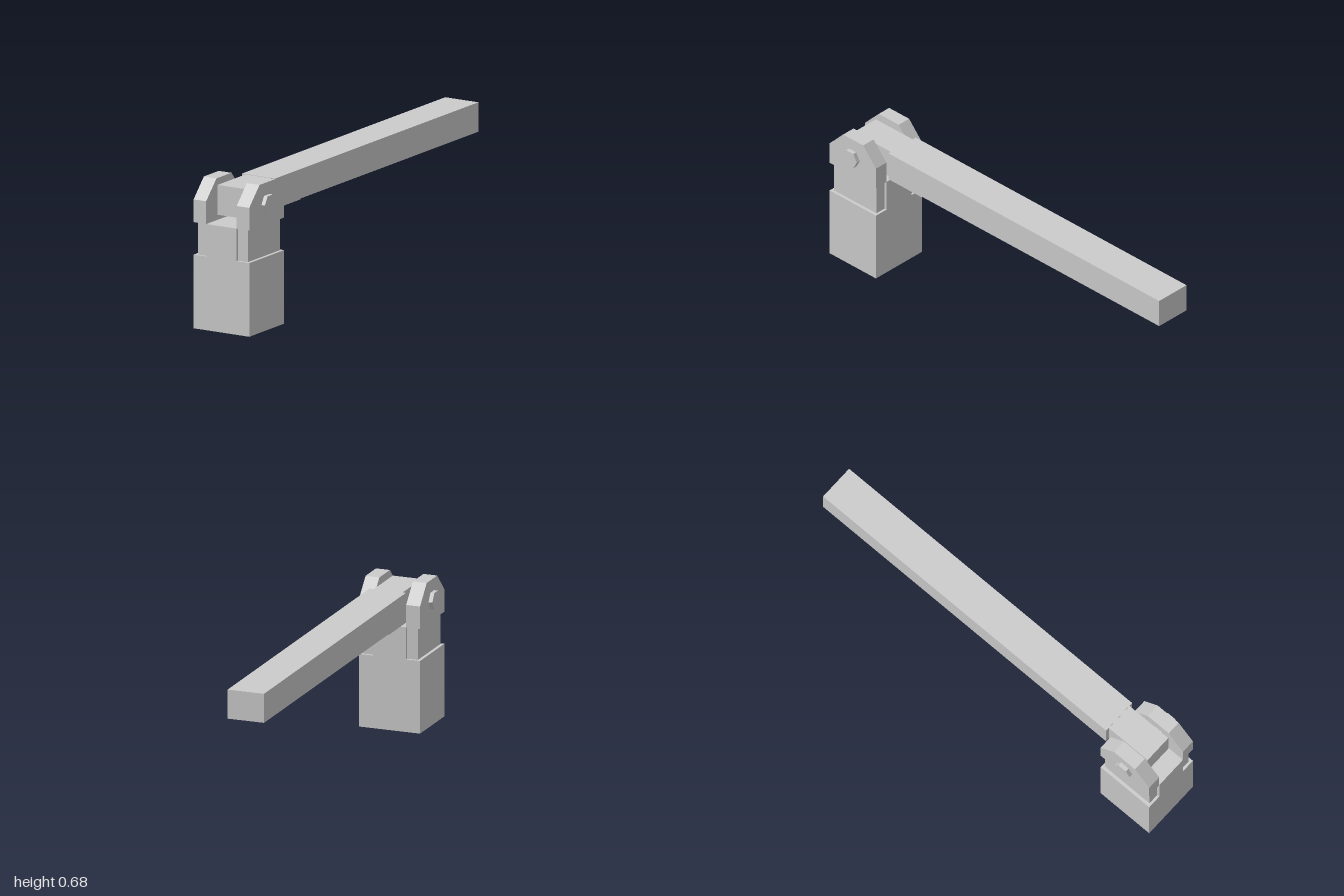
import * as THREE from 'three';

const material = new THREE.MeshStandardMaterial({ color: 0xcccccc, flatShading: true });
const shellMaterial = new THREE.MeshStandardMaterial({
  color: 0xcccccc, flatShading: true, side: THREE.DoubleSide,
});

function addMesh(parent, name, geometry, mat = material) {
  const mesh = new THREE.Mesh(geometry, mat);
  mesh.name = name;
  parent.add(mesh);
  return mesh;
}

// Box given by its lower and upper limits on each axis
function boxBetween([x0, x1], [y0, y1], [z0, z1]) {
  return new THREE.BoxGeometry(x1 - x0, y1 - y0, z1 - z0)
    .translate((x0 + x1) / 2, (y0 + y1) / 2, (z0 + z1) / 2);
}

function extrude(points, depth) {
  const shape = new THREE.Shape(points.map(([x, y]) => new THREE.Vector2(x, y)));
  return new THREE.ExtrudeGeometry(shape, { depth, bevelEnabled: false });
}

// Side profile in (z, y), extruded from x0 to x1
function extrudeAcross(points, x0, x1) {
  return extrude(points.map(([z, y]) => [-z, y]), x1 - x0)
    .rotateY(Math.PI / 2).translate(x0, 0, 0);
}

// Drops the triangles lying on the ground, leaving the shell open below
function openBottom(geometry) {
  const p = geometry.toNonIndexed().getAttribute('position');
  const kept = [];
  for (let i = 0; i < p.count; i += 3) {
    const grounded = [0, 1, 2].every((k) => Math.abs(p.getY(i + k)) < 1e-5);
    if (!grounded) kept.push(...p.array.slice(i * 3, i * 3 + 9));
  }
  const open = new THREE.BufferGeometry();
  open.setAttribute('position', new THREE.Float32BufferAttribute(kept, 3));
  open.computeVertexNormals();
  return open;
}

export function createModel() {
  const model = new THREE.Group();
  model.name = 'hingedLever';

  // Hollow base with its raised central neck
  const body = extrude([
    [-0.148, 0], [0.148, 0], [0.148, 0.34], [0.08, 0.34],
    [0.08, 0.49], [-0.08, 0.49], [-0.08, 0.34], [-0.148, 0.34],
  ], 0.29).translate(0, 0, 0.71);
  addMesh(model, 'base', openBottom(body), shellMaterial);

  // Fork: recessed stem, chamfered ear and hexagonal pin head on each side
  const earProfile = [
    [1, 0.49], [1, 0.595], [0.915, 0.683], [0.79, 0.683], [0.71, 0.595], [0.71, 0.49],
  ];
  for (const [label, side] of [['left', 1], ['right', -1]]) {
    const span = (a, b) => [side * a, side * b].sort((p, q) => p - q);
    addMesh(model, `${label}Stem`, boxBetween(span(0.08, 0.133), [0.34, 0.49], [0.722, 0.988]));
    addMesh(model, `${label}Ear`, extrudeAcross(earProfile, ...span(0.081, 0.148)));
  }

  // Pin through both ears
  const pin = addMesh(model, 'hingePin',
    new THREE.CylinderGeometry(0.044, 0.044, 0.334, 6).rotateZ(Math.PI / 2));
  // Corners point along z
  pin.rotation.x = Math.PI / 2;
  pin.geometry.computeBoundingBox();
  const size = pin.geometry.boundingBox.getSize(new THREE.Vector3());
  if (size.z > size.y) pin.rotation.x = 0;
  pin.position.set(0, 0.587, 0.855);

  // Lever arm with a shallow step underneath, and its narrow tongue
  addMesh(model, 'arm', extrudeAcross([
    [-1, 0.522], [0.48, 0.522], [0.48, 0.518], [0.69, 0.518], [0.69, 0.658], [-1, 0.658],
  ], -0.088, 0.088));
  addMesh(model, 'tongue', boxBetween([-0.07, 0.07], [0.518, 0.656], [0.69, 0.922]));

  return model;
}
